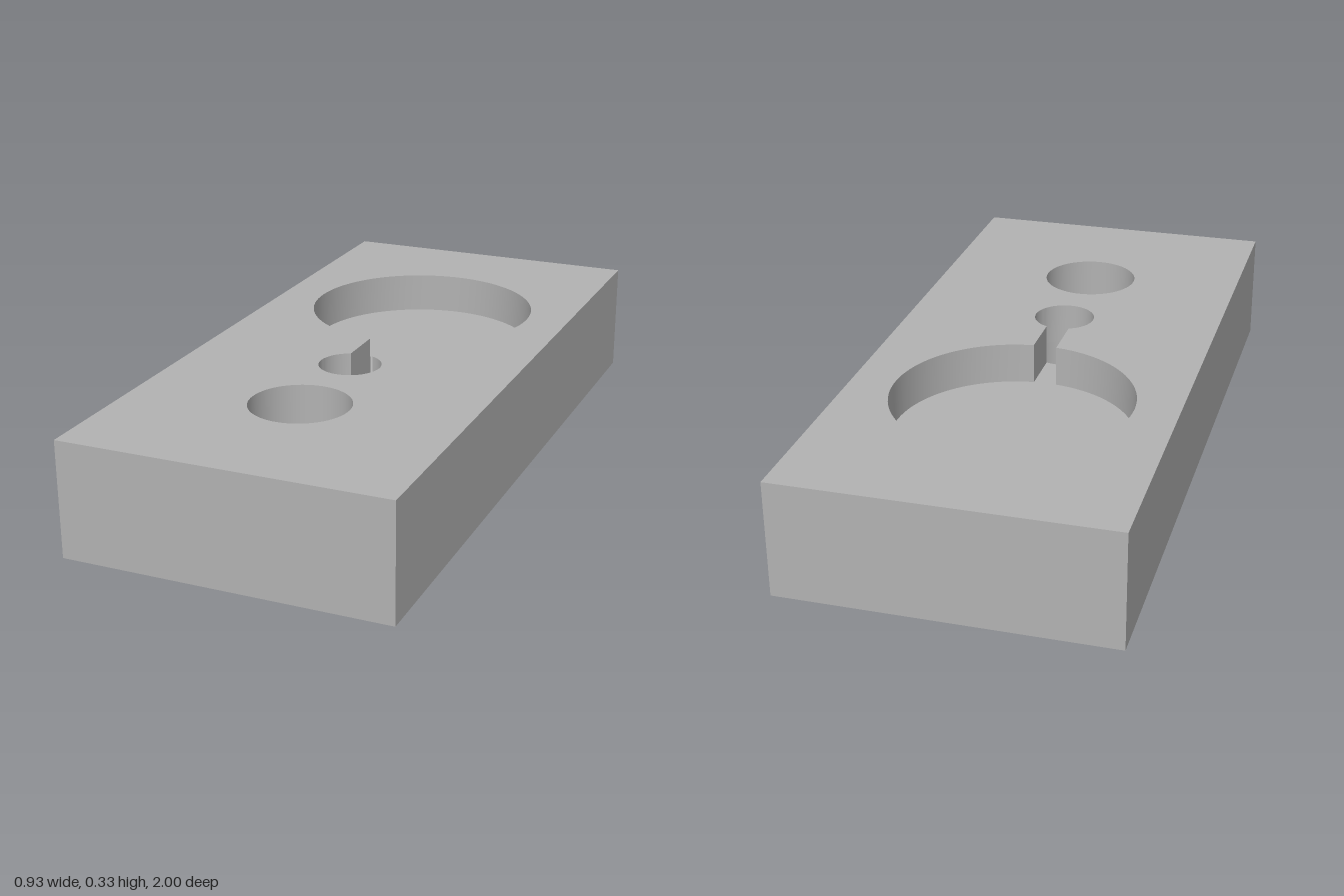
import * as THREE from 'three';
import { mergeVertices, toCreasedNormals } from 'three/addons/utils/BufferGeometryUtils.js';

// Plan coordinates: x to the right, y towards the back (-z)
const W = 0.467, L = 1, TOP = 0.333, FLOOR = 0.213;
const pocket = { y: 0.369, r: 0.342 };
const smallHole = { y: -0.199, r: 0.09 };
const largeHole = { y: -0.532, r: 0.142 };
const slot = 0.034; // half width of the channel

function arc({ y, r }, from, to, n) {
  return Array.from({ length: n + 1 }, (_, i) => {
    const a = from + (to - from) * i / n;
    return new THREE.Vector2(r * Math.cos(a), y + r * Math.sin(a));
  });
}
const circle = (c) => arc(c, 0, Math.PI * 2, 64).slice(0, -1);

// Horizontal face with holes, facing up or down
function flat(outline, holes, y, down = false) {
  const plan = (pts) => pts.map((p) => new THREE.Vector2(p.x, down ? -p.y : p.y));
  const shape = new THREE.Shape(plan(outline));
  shape.holes = holes.map((h) => new THREE.Path(plan(h)));
  return new THREE.ShapeGeometry(shape).rotateX(down ? Math.PI / 2 : -Math.PI / 2).translate(0, y, 0);
}

// Vertical wall round a closed loop; inward for holes
function wall(loop, y0, y1, inward = false) {
  const pts = inward ? [...loop].reverse() : loop;
  const pos = [];
  pts.forEach((a, i) => {
    const b = pts[(i + 1) % pts.length];
    pos.push(a.x, y0, -a.y, b.x, y0, -b.y, b.x, y1, -b.y);
    pos.push(a.x, y0, -a.y, b.x, y1, -b.y, a.x, y1, -a.y);
  });
  const g = new THREE.BufferGeometry();
  g.setAttribute('position', new THREE.Float32BufferAttribute(pos, 3));
  return toCreasedNormals(mergeVertices(g), Math.PI / 6);
}

export function createModel() {
  const group = new THREE.Group();
  group.name = 'drilledBlock';
  const grey = new THREE.MeshStandardMaterial({ color: 0xb2b2b2 });
  grey.name = 'grey';
  const add = (name, geometry) => {
    const mesh = new THREE.Mesh(geometry, grey);
    mesh.name = name;
    group.add(mesh);
  };

  const block = [[-W, -L], [W, -L], [W, L], [-W, L]].map(([x, y]) => new THREE.Vector2(x, y));
  const small = circle(smallHole), large = circle(largeHole);

  // Pocket, channel and small hole share one keyhole outline
  const q = Math.PI / 2;
  const ap = Math.asin(slot / pocket.r), as = Math.asin(slot / smallHole.r);
  const pocketArc = arc(pocket, -q + ap, 3 * q - ap, 96);
  const keyhole = [...pocketArc, ...arc(smallHole, q + as, 5 * q - as, 56)];
  const floor = [...pocketArc, ...arc(smallHole, q + as, q - as, 8)];

  add('topFace', flat(block, [keyhole, large], TOP));
  add('bottomFace', flat(block, [small, large], 0, true));
  add('outerSides', wall(block, 0, TOP));
  add('pocketFloor', flat(floor, [], FLOOR));
  add('pocketWall', wall(keyhole, FLOOR, TOP, true));
  add('smallHoleWall', wall(small, 0, FLOOR, true));
  add('largeHoleWall', wall(large, 0, TOP, true));
  return group;
}
